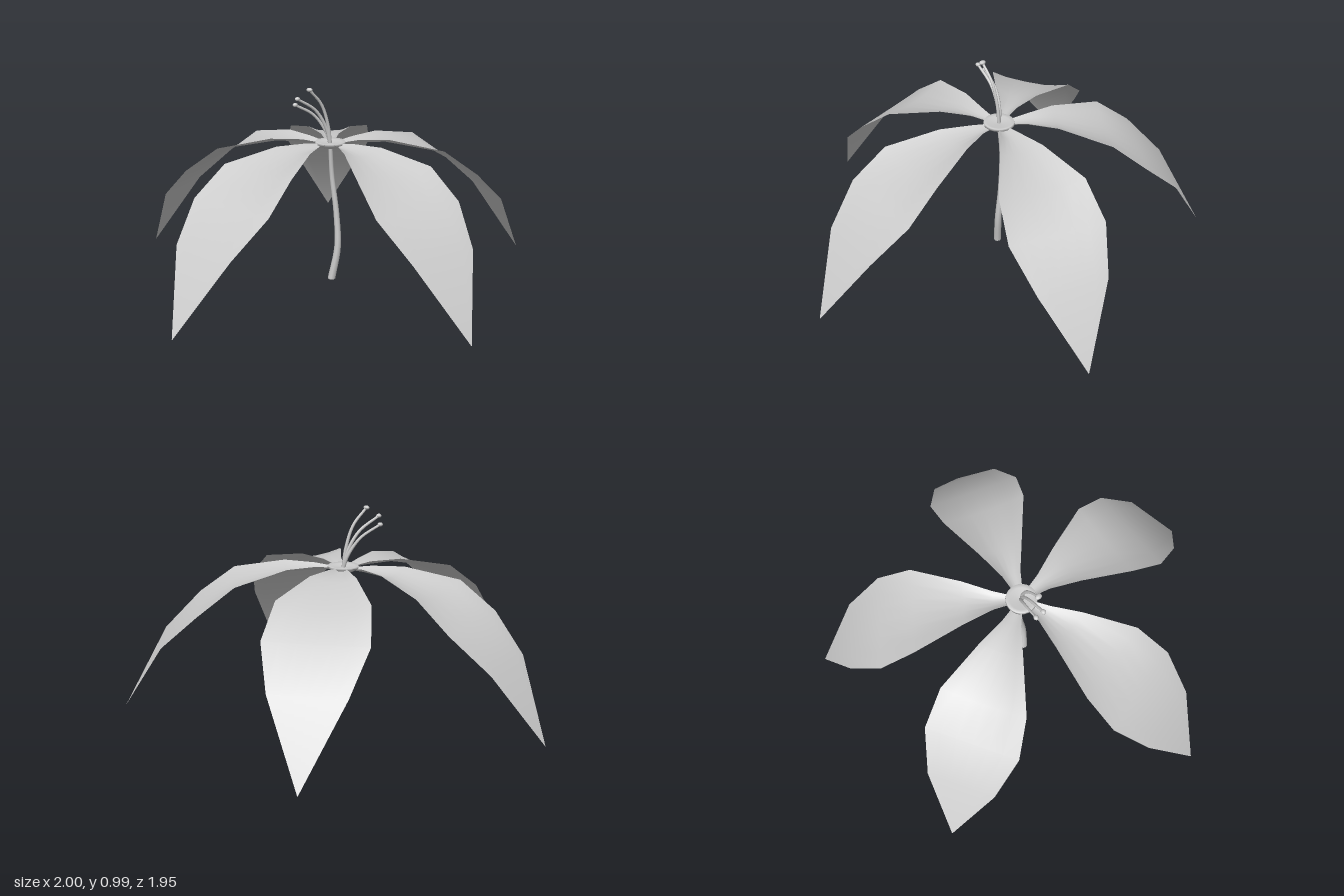
import * as THREE from 'three';

const CX = 0.015, CZ = -0.07; // flower centre
const V = (x, y, z) => new THREE.Vector3(x, y, z);

// Cross-sections of a petal: distance out, half width, midrib height, edge height
const SECTIONS = [
  [0.02, 0.015, 0.70, 0.705],
  [0.13, 0.045, 0.70, 0.722],
  [0.27, 0.105, 0.698, 0.725],
  [0.51, 0.205, 0.645, 0.675],
  [0.68, 0.228, 0.548, 0.55],
  [0.85, 0.166, 0.39, 0.39],
  [1.043, 0.001, 0.06, 0.06],
];

function petalGeometry() {
  const across = 6, pos = [], index = [];
  for (const [s, half, mid, edge] of SECTIONS) {
    for (let j = 0; j <= across; j++) {
      const u = (j / across) * 2 - 1;
      pos.push(u * half, mid + (edge - mid) * u * u, s);
    }
  }
  const row = across + 1;
  for (let i = 0; i < SECTIONS.length - 1; i++) {
    for (let j = 0; j < across; j++) {
      const a = i * row + j, b = a + 1, c = a + row, d = c + 1;
      index.push(a, c, b, b, c, d);
    }
  }
  const g = new THREE.BufferGeometry();
  g.setAttribute('position', new THREE.Float32BufferAttribute(pos, 3));
  g.setIndex(index);
  g.computeVertexNormals();
  return g;
}

// Round tube whose radius changes linearly from r0 to r1
function taperedTube(points, r0, r1, segments, sides) {
  const curve = new THREE.CatmullRomCurve3(points);
  const g = new THREE.TubeGeometry(curve, segments, 1, sides);
  const p = g.attributes.position, v = V(0, 0, 0);
  for (let i = 0; i < p.count; i++) {
    const t = Math.floor(i / (sides + 1)) / segments;
    const c = curve.getPointAt(t);
    v.fromBufferAttribute(p, i).sub(c).multiplyScalar(r0 + (r1 - r0) * t).add(c);
    p.setXYZ(i, v.x, v.y, v.z);
  }
  return g;
}

export function createModel() {
  const model = new THREE.Group();
  model.name = 'flower';
  const mat = new THREE.MeshStandardMaterial({ color: 0xcccccc });
  const thin = new THREE.MeshStandardMaterial({ color: 0xcccccc, side: THREE.DoubleSide });
  const add = (name, geometry, material = mat) => {
    const mesh = new THREE.Mesh(geometry, material);
    mesh.name = name;
    model.add(mesh);
    return mesh;
  };

  // Five drooping petals, aimed at their tips
  const petal = petalGeometry();
  const tips = [[-0.04, 0.97], [1, 0.29], [0.63, -0.91], [-0.5, -0.98], [-1, 0.17]];
  tips.forEach(([x, z], i) => {
    const mesh = add('petal' + (i + 1), petal, thin);
    mesh.position.set(CX, 0, CZ);
    mesh.rotation.y = Math.atan2(x - CX, z - CZ);
  });

  // Shallow central disc
  const disc = add('centreDisc', new THREE.LatheGeometry([
    [0, 0.685], [0.05, 0.69], [0.075, 0.705], [0.072, 0.716], [0.055, 0.712], [0, 0.706],
  ].map(([x, y]) => new THREE.Vector2(x, y)), 24), thin);
  disc.position.set(CX, 0, CZ);

  // Curved stem, thicker at the foot
  add('stem', taperedTube([
    V(0.018, 0.003, -0.065), V(0.042, 0.17, -0.047), V(0.045, 0.34, -0.06),
    V(0.03, 0.54, -0.077), V(CX, 0.7, CZ),
  ], 0.019, 0.01, 20, 8), thin);
  const foot = add('stemFoot', new THREE.CylinderGeometry(0.019, 0.019, 0.006, 8));
  foot.position.set(0.018, 0.003, -0.065);

  // Arched stamens with small flattened anthers
  const ends = [[-0.105, 0.98, -0.072], [-0.16, 0.94, -0.092], [-0.15, 0.905, -0.125]];
  const anther = new THREE.SphereGeometry(0.013, 10, 8);
  ends.forEach(([x, y, z], i) => {
    const at = (k, h) => V(CX + (x - CX) * k, 0.7 + (y - 0.7) * h, CZ + (z - CZ) * h);
    add('stamen' + (i + 1),
      taperedTube([at(0, 0), at(0.1, 0.33), at(0.42, 0.72), at(1, 1)], 0.009, 0.006, 14, 6));
    const tip = add('anther' + (i + 1), anther);
    tip.position.set(x, y, z);
    tip.scale.set(1, 0.75, i === 0 ? 1.3 : 0.9);
  });

  return model;
}
